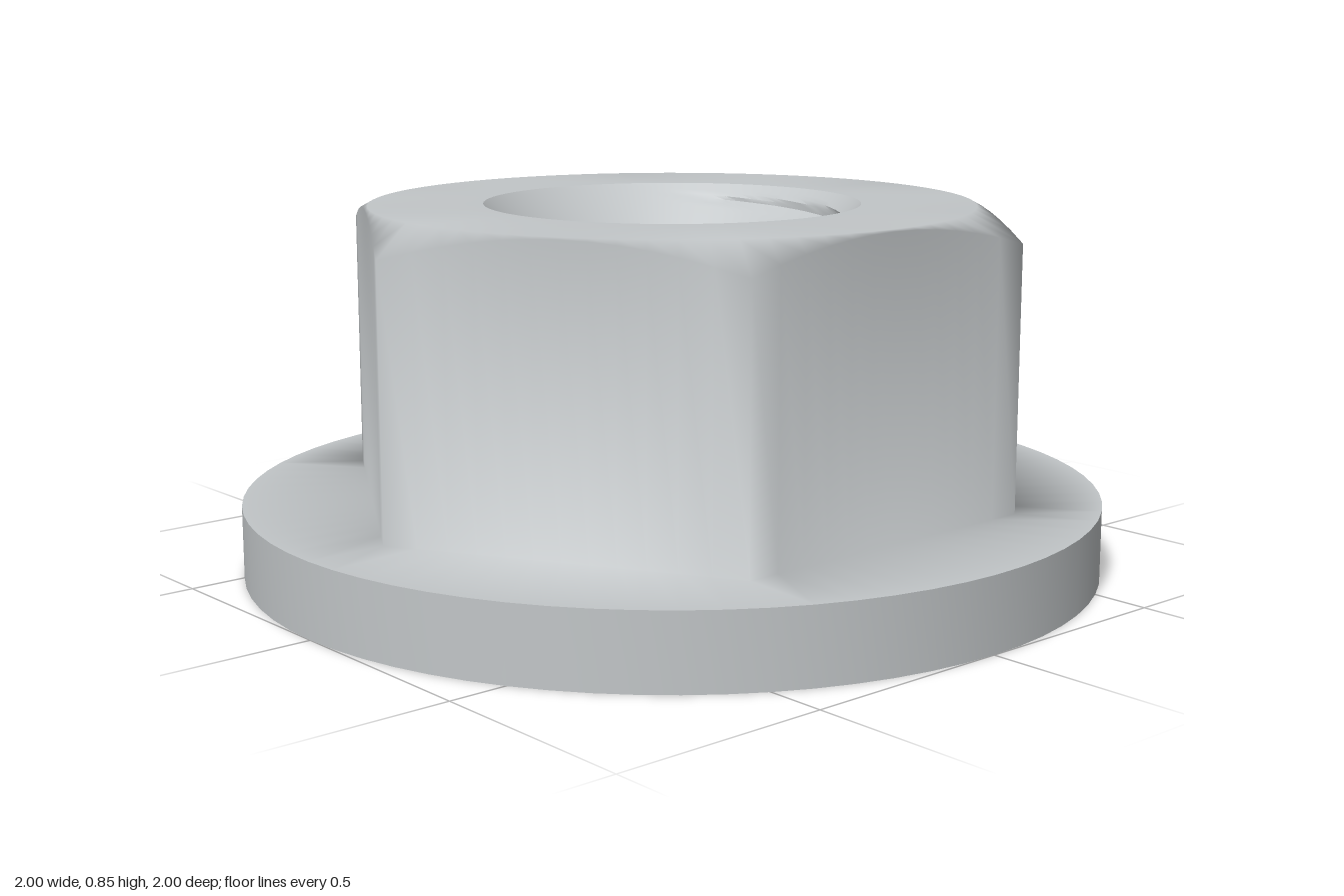
import * as THREE from 'three';
import { mergeVertices, toCreasedNormals } from 'three/addons/utils/BufferGeometryUtils.js';

const TAU = Math.PI * 2;
const HEIGHT = 0.845, FLANGE_H = 0.17, FLANGE_R = 1;
const FLAT_R = 0.705; // centre to hex flat; also the radius of the top face
const BORE_R = 0.33, ROOT_R = 0.405, MOUTH_R = 0.435, PITCH = 0.14;

// Surface swept around y: point(angle, row) returns [radius, y]
function sweep(segments, rows, point) {
  const pos = [], index = [];
  for (let j = 0; j <= rows; j++) {
    for (let i = 0; i <= segments; i++) {
      const a = (i % segments) / segments * TAU;
      const [r, y] = point(i / segments * TAU, j);
      pos.push(r * Math.cos(a), y, -r * Math.sin(a));
      if (i < segments && j < rows) {
        const p = j * (segments + 1) + i, q = p + segments + 1;
        index.push(p, p + 1, q, p + 1, q + 1, q);
      }
    }
  }
  const g = new THREE.BufferGeometry();
  g.setAttribute('position', new THREE.Float32BufferAttribute(pos, 3));
  g.setIndex(index);
  return g;
}

function smooth(geometry) {
  const g = mergeVertices(geometry, 1e-5);
  g.computeVertexNormals();
  return g;
}

// Radius of the hexagon, with corners on the z axis
function hexRadius(a) {
  const sector = TAU / 6;
  return FLAT_R / Math.cos(a - Math.round(a / sector) * sector);
}

// Thread radius across one pitch: flat crest, flank, narrow root, flank
function threadRadius(t) {
  const d = Math.abs(t - Math.floor(t) - 0.5) * 2; // 0 at root, 1 at crest
  const k = THREE.MathUtils.clamp((d - 0.125) / 0.625, 0, 1);
  return THREE.MathUtils.lerp(ROOT_R, BORE_R, k);
}

export function createModel() {
  const group = new THREE.Group();
  const steel = new THREE.MeshStandardMaterial({ color: 0xc2c6c8 });
  steel.name = 'steel grey';
  const add = (name, geometry) => {
    const mesh = new THREE.Mesh(geometry, steel);
    mesh.name = name;
    group.add(mesh);
  };

  // Flange underside and rim
  add('flangeUnderside', smooth(sweep(72, 1, (a, j) => [j ? FLANGE_R : MOUTH_R, 0])));
  add('flangeRim', smooth(sweep(72, 1, (a, j) => [FLANGE_R, j ? FLANGE_H : 0])));

  // Flange top, hex walls, conical corner chamfer and top face
  add('hexBody', smooth(sweep(72, 4, (a, j) => {
    const r = hexRadius(a);
    return [
      [FLANGE_R, FLANGE_H],
      [r, FLANGE_H],
      [r, HEIGHT - 0.004 - (r - FLAT_R) * 0.55],
      [FLAT_R - 0.007, HEIGHT],
      [MOUTH_R, HEIGHT],
    ][j];
  })));

  // Right-hand helical thread, opened by a countersink at both ends
  const perTurn = 16, turns = Math.ceil(HEIGHT / PITCH) + 1;
  const bore = sweep(72, perTurn * turns, (a, j) => {
    const turn = turns - 1 - j / perTurn;
    const y = THREE.MathUtils.clamp((turn + a / TAU) * PITCH, 0, HEIGHT);
    const sink = MOUTH_R - Math.min(y, HEIGHT - y);
    return [Math.max(threadRadius(turn), sink), y];
  });
  add('threadedBore', toCreasedNormals(bore, 0.65));

  return group;
}
